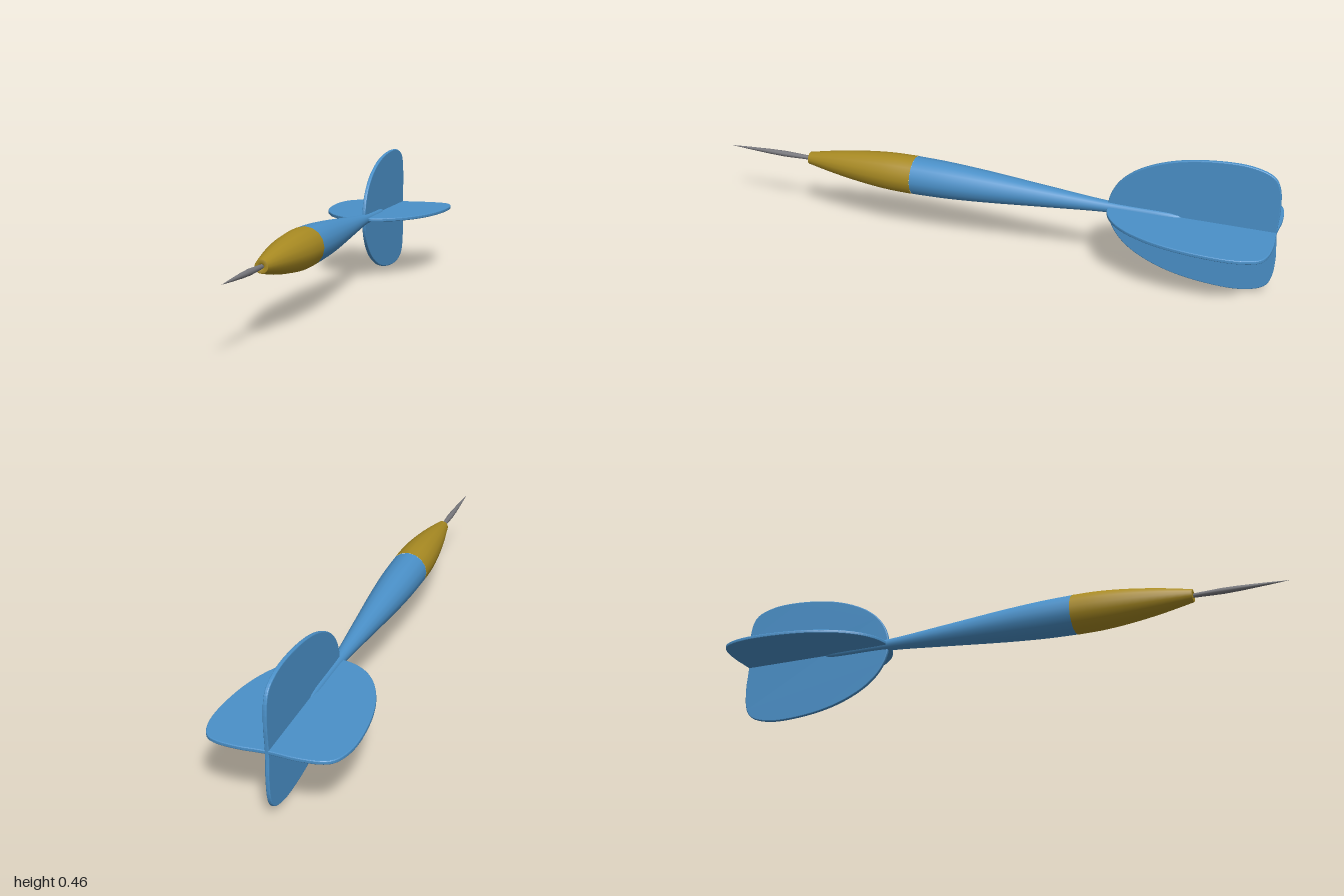
import * as THREE from 'three';

const AXIS_Y = 0.235;

const material = (color) => new THREE.MeshStandardMaterial({ color });

// Turned part along the z axis from [z, radius] pairs, listed back to front
function turned(name, profile, segments, mat) {
  const points = profile.map(([z, r]) => new THREE.Vector2(r, z));
  const geometry = new THREE.LatheGeometry(points, segments);
  geometry.rotateX(Math.PI / 2);
  const mesh = new THREE.Mesh(geometry, mat);
  mesh.name = name;
  return mesh;
}

// Smooth [z, radius] profile through a few points
function smoothProfile(points, count) {
  const curve = new THREE.SplineCurve(points.map(([z, r]) => new THREE.Vector2(z, r)));
  return curve.getPoints(count).map((p) => [p.x, p.y]);
}

// Thin flight plate spanning both sides of the axis
function flightGeometry() {
  const half = [
    [0.034, -0.432], [0.08, -0.45], [0.125, -0.486], [0.165, -0.542], [0.2, -0.624],
    [0.222, -0.72], [0.2315, -0.83], [0.226, -0.91], [0.203, -0.97], [0.16, -0.994], [0.09, -1], [0.04, -0.997],
  ];
  const right = half.map(([x, z]) => new THREE.Vector2(x, z));
  const left = half.map(([x, z]) => new THREE.Vector2(-x, z)).reverse();
  const outline = [new THREE.Vector2(0, -0.43), ...right, new THREE.Vector2(0, -0.995), ...left];
  const curve = new THREE.SplineCurve([...outline, outline[0]]);
  const shape = new THREE.Shape(curve.getPoints(104).slice(0, -1));
  const depth = 0.006, bevel = 0.0035;
  const geometry = new THREE.ExtrudeGeometry(shape, {
    depth, bevelThickness: bevel, bevelSize: bevel, bevelOffset: -bevel, bevelSegments: 3,
  });
  geometry.translate(0, 0, -depth / 2);
  geometry.rotateX(Math.PI / 2);
  return geometry;
}

export function createModel() {
  const model = new THREE.Group();
  model.name = 'dart';
  const blue = material(0x4a90c8);
  const gold = material(0xa88a22);
  const steel = material(0x77777c);

  const body = new THREE.Group();
  body.name = 'dartBody';
  body.position.y = AXIS_Y;
  model.add(body);

  // Steel point
  body.add(turned('point', [
    [0.66, 0.007], [0.7, 0.008], [0.78, 0.0105], [0.84, 0.009], [0.93, 0.0045], [1, 0],
  ], 12, steel));

  // Barrel with a flat front collar
  body.add(turned('barrel', smoothProfile([
    [0.27, 0.0685], [0.36, 0.067], [0.46, 0.0585], [0.57, 0.043], [0.68, 0.022],
  ], 16), 16, gold));
  body.add(turned('barrelTip', [[0.68, 0.022], [0.682, 0.012], [0.676, 0.006]], 16, gold));

  // Tapered shaft whose rounded tail sits between the flights
  body.add(turned('shaft', [
    [-0.69, 0], [-0.685, 0.007], [-0.67, 0.013], [-0.64, 0.017],
    ...smoothProfile([
      [-0.6, 0.018], [-0.43, 0.02], [-0.2, 0.0385], [0, 0.0555], [0.15, 0.065], [0.27, 0.068],
    ], 24),
  ], 16, blue));

  // Two crossed plates make the four flights
  const plate = flightGeometry();
  ['horizontalFlight', 'verticalFlight'].forEach((name, i) => {
    const flight = new THREE.Mesh(plate, blue);
    flight.name = name;
    flight.rotation.z = i * Math.PI / 2;
    body.add(flight);
  });

  return model;
}
